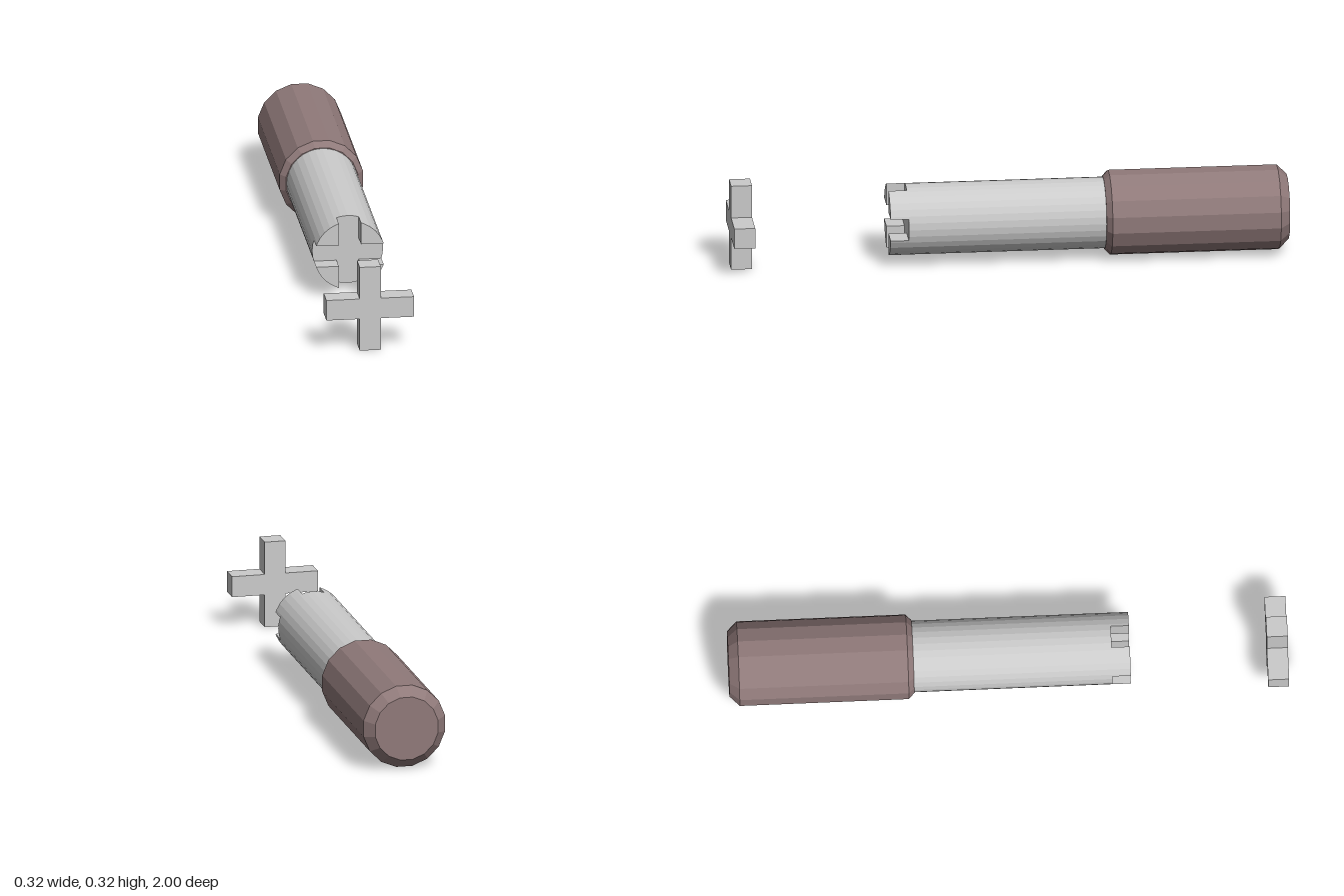
import * as THREE from 'three';

export function createModel() {
  const model = new THREE.Group();
  const body = new THREE.Group();
  body.position.y = 0.158; // axis height
  model.add(body);

  const grey = new THREE.MeshStandardMaterial({ color: 0xcccccc, flatShading: true });
  const brown = new THREE.MeshStandardMaterial({ color: 0x907a7a, flatShading: true });
  const add = (name, geometry, material, z = 0) => {
    const mesh = new THREE.Mesh(geometry, material);
    mesh.name = name;
    mesh.position.z = z;
    body.add(mesh);
  };
  const extrude = (points, depth) =>
    new THREE.ExtrudeGeometry(new THREE.Shape(points), { depth, bevelEnabled: false });
  const v = (x, y) => new THREE.Vector2(x, y);

  // Sixteen-sided handle with chamfered ends, lying along z
  const profile = [[0, -1], [0.118, -1], [0.153, -0.965], [0.153, -0.36], [0.132, -0.34], [0, -0.34]];
  const handle = new THREE.LatheGeometry(profile.map(([r, y]) => v(r, y)), 16, Math.PI / 16);
  add('handle', handle.rotateX(Math.PI / 2), brown);

  // Shaft up to the floor of the cross slot
  const R = 0.128, slot = 0.04, floor = 0.37, tip = 0.435, back = -0.35;
  const shaft = new THREE.CylinderGeometry(R, R, floor - back, 32);
  add('shaft', shaft.rotateX(Math.PI / 2), grey, (floor + back) / 2);

  // Four prongs left standing around the cross slot
  const edge = Math.sqrt(R * R - slot * slot);
  const quarter = [v(slot, slot), v(edge, slot)];
  for (let k = 2; k <= 6; k++) {
    const a = k * Math.PI / 16;
    quarter.push(v(R * Math.cos(a), R * Math.sin(a)));
  }
  quarter.push(v(slot, edge));
  for (let i = 0; i < 4; i++) {
    const prong = extrude(quarter, tip - floor).rotateZ(i * Math.PI / 2);
    add(`prong${i + 1}`, prong, grey, floor);
  }

  // Detached cross key in front of the slot
  const w = 0.038, L = 0.158, cross = [];
  for (let i = 0; i < 4; i++) {
    for (const [x, y] of [[L, -w], [L, w], [w, w]]) {
      cross.push(v(x, y).rotateAround(v(0, 0), i * Math.PI / 2));
    }
  }
  add('crossKey', extrude(cross, 0.075), grey, 0.925);

  return model;
}
